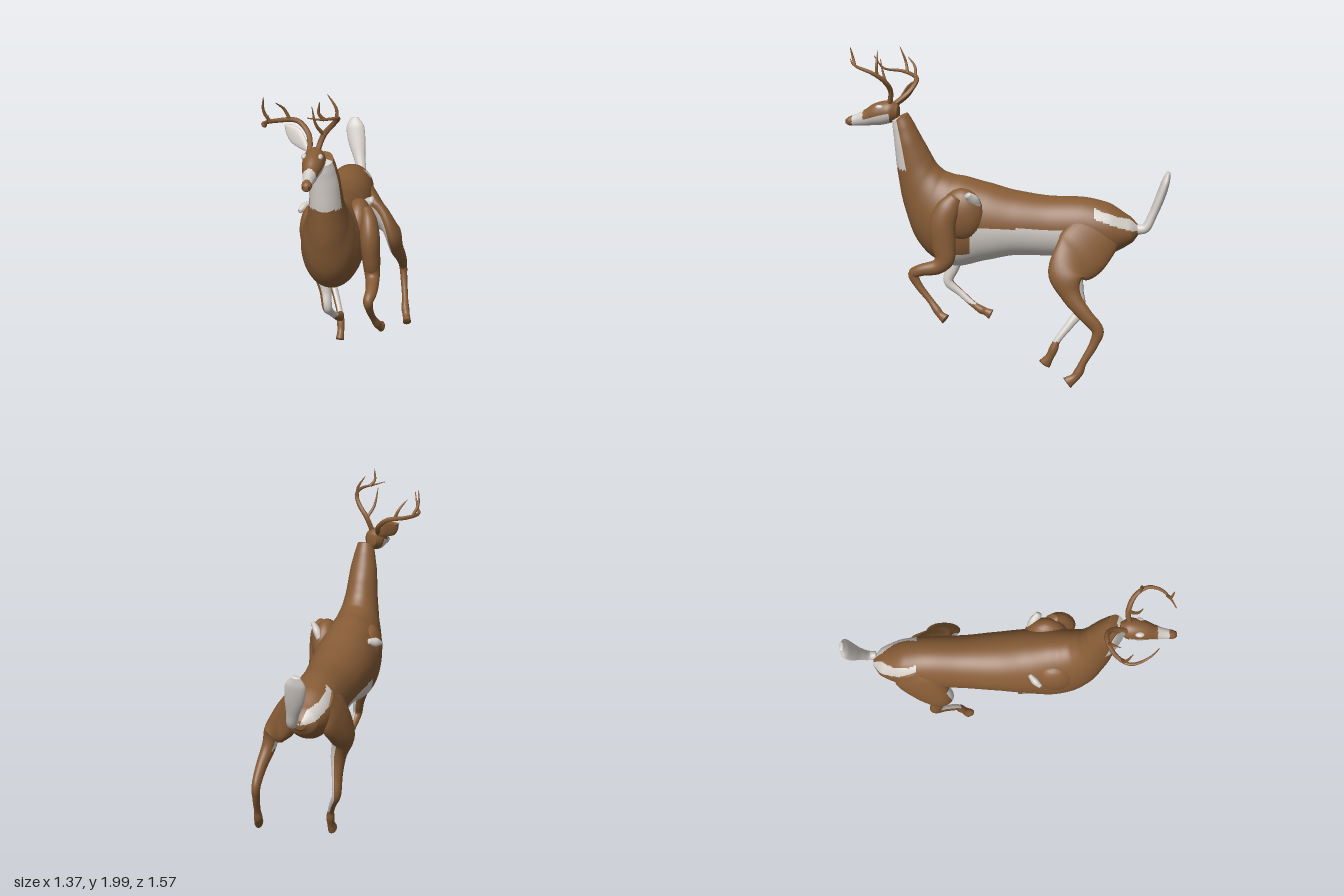
import * as THREE from 'three';

const V = (x, y, z) => new THREE.Vector3(x, y, z);
const LEFT = V(0.8, 0, 0.6); // the animal's own left
const FORWARD = V(-0.6, 0, 0.8);
const along = p => p.dot(FORWARD);

const brown = new THREE.MeshStandardMaterial({ color: 0x875c36 });
brown.name = 'brown coat';
const white = new THREE.MeshStandardMaterial({ color: 0xd2ccc6 });
white.name = 'white coat';
const dark = new THREE.MeshStandardMaterial({ color: 0x2a211c });
dark.name = 'dark nose';

// Smooth skin through oval sections [x, y, z, halfWidth, halfHeight, optional backward tilt].
// isWhite(point, u, v): u is +1 on the side vector, v is +1 on the upper/front face.
function loft(name, sections, { side = LEFT, steps = 40, sides = 24, isWhite = () => false } = {}) {
  const path = new THREE.CatmullRomCurve3(sections.map(s => V(s[0], s[1], s[2])), false, 'centripetal');
  const size = new THREE.CatmullRomCurve3(sections.map(s => V(s[3], s[4], s[5] ?? 0)), false, 'catmullrom', 0.4);
  const tilted = sections[0].length > 5;
  const pos = [], groups = [[], []];
  for (let i = -1; i <= steps + 1; i++) {
    const t = Math.min(1, Math.max(0, i / steps));
    const c = path.getPoint(t), r = size.getPoint(t);
    const T = tilted ? FORWARD.clone().multiplyScalar(Math.cos(r.z)).setY(Math.sin(r.z)) : path.getTangent(t);
    const up = T.clone().cross(side).normalize(), sd = up.clone().cross(T);
    const k = i < 0 || i > steps ? 0 : 1; // end rings close to a point
    for (let j = 0; j < sides; j++) {
      const a = j / sides * Math.PI * 2;
      const p = c.clone().addScaledVector(sd, k * r.x * Math.cos(a)).addScaledVector(up, k * r.y * Math.sin(a));
      pos.push(p.x, p.y, p.z);
    }
  }
  const at = i => V(pos[3 * i], pos[3 * i + 1], pos[3 * i + 2]);
  for (let i = 0; i < steps + 2; i++) for (let j = 0; j < sides; j++) {
    const a = i * sides + j, b = i * sides + (j + 1) % sides, c = a + sides, d = b + sides;
    const mid = at(a).add(at(b)).add(at(c)).add(at(d)).multiplyScalar(0.25);
    const ang = (j + 0.5) / sides * Math.PI * 2;
    groups[isWhite(mid, Math.cos(ang), Math.sin(ang)) ? 1 : 0].push(a, b, c, b, d, c);
  }
  const g = new THREE.BufferGeometry();
  g.setAttribute('position', new THREE.Float32BufferAttribute(pos, 3));
  g.setIndex([...groups[0], ...groups[1]]);
  g.addGroup(0, groups[0].length, 0);
  g.addGroup(groups[0].length, groups[1].length, 1);
  g.computeVertexNormals();
  const m = new THREE.Mesh(g, [brown, white]);
  m.name = name;
  return m;
}

// Section between a point on the back line and one on the belly line, given as z and y
function slice([zTop, yTop, zBottom, yBottom, halfWidth]) {
  const a = (zTop - 0.024) / 0.8, b = (zBottom - 0.024) / 0.8, s = (a + b) / 2;
  return [-0.6 * s + 0.032, (yTop + yBottom) / 2, 0.8 * s + 0.024, halfWidth,
    Math.hypot(a - b, yTop - yBottom) / 2, Math.atan2(b - a, yTop - yBottom)];
}

// Tube that narrows to a point, for the antlers
function horn(name, pts, r, tip = 0.15) {
  const curve = new THREE.CatmullRomCurve3(pts.map(p => V(...p)));
  const n = 24, g = new THREE.TubeGeometry(curve, n, r, 8);
  const pos = g.attributes.position, p = V(0, 0, 0);
  for (let i = 0; i < pos.count; i++) {
    const t = Math.floor(i / 9) / n, c = curve.getPointAt(t);
    p.fromBufferAttribute(pos, i).sub(c).multiplyScalar(1 - (1 - tip) * t * t).add(c);
    pos.setXYZ(i, p.x, p.y, p.z);
  }
  g.computeVertexNormals();
  const m = new THREE.Mesh(g, brown);
  m.name = name;
  return m;
}

function ear(name, base, tip, facing, w) {
  const a = V(...base), b = V(...tip), d = b.clone().sub(a).normalize();
  const sec = [[0, 0.25], [0.25, 0.7], [0.55, 1], [0.8, 0.75], [1, 0.1]].map(([t, k]) => {
    const p = a.clone().lerp(b, t);
    return [p.x, p.y, p.z, w * k, 0.012];
  });
  return loft(name, sec, { side: V(...facing).cross(d).normalize(), steps: 16, sides: 16, isWhite: (p, u, v) => v > 0.1 });
}

function blob(name, mat, p, sx, sy, sz) {
  const m = new THREE.Mesh(new THREE.SphereGeometry(1, 24, 16), mat);
  m.position.set(...p);
  m.scale.set(sx, sy, sz);
  m.rotation.y = Math.atan2(-0.6, 0.8);
  m.name = name;
  return m;
}

export function createModel() {
  const deer = new THREE.Group();
  deer.name = 'deer';

  // Trunk and neck, with pale belly, throat and rump stripes
  deer.add(loft('bodyAndNeck', [
    [-0.61, 0.96, -0.61, 0.91, 0.03], [-0.56, 1.02, -0.58, 0.86, 0.09], [-0.46, 1.095, -0.48, 0.79, 0.135],
    [-0.34, 1.125, -0.34, 0.765, 0.15], [-0.18, 1.125, -0.18, 0.76, 0.157], [-0.02, 1.15, -0.02, 0.755, 0.174],
    [0.12, 1.195, 0.12, 0.715, 0.186], [0.22, 1.228, 0.27, 0.67, 0.187], [0.28, 1.24, 0.38, 0.72, 0.175],
    [0.33, 1.265, 0.46, 0.83, 0.15], [0.37, 1.32, 0.515, 1.02, 0.117], [0.395, 1.38, 0.545, 1.22, 0.097],
    [0.43, 1.46, 0.56, 1.4, 0.084], [0.465, 1.545, 0.567, 1.5, 0.066], [0.495, 1.61, 0.57, 1.56, 0.05],
  ].map(slice), {
    steps: 160, sides: 100, isWhite: (p, u, v) => {
      const s = along(p);
      if (p.y > 1.28) return v < -0.3;
      if (s > -0.8 && s < -0.53) {
        const line = 1.06 + (s + 0.53) * 0.36;
        if (Math.abs(p.y - line) < 0.026 && Math.abs(u) > 0.3) return true;
      }
      // flank patch with a rounded front corner
      const corner = Math.max(0, s - 0.12) ** 2 * 9;
      if (s > -0.43 && s < 0.2 && p.y < (u > 0 ? 0.97 : 0.88) - corner) return true;
      return s > -0.75 && s < 0.36 && p.y < 0.79;
    },
  }));

  // Head with pale cheeks, muzzle band and eye patches
  deer.add(loft('head', [
    [-0.385, 1.605, 0.525, 0.03, 0.04], [-0.42, 1.605, 0.56, 0.06, 0.066], [-0.465, 1.588, 0.615, 0.058, 0.068],
    [-0.51, 1.563, 0.67, 0.042, 0.05], [-0.55, 1.545, 0.72, 0.03, 0.036], [-0.58, 1.535, 0.758, 0.026, 0.027],
    [-0.593, 1.533, 0.775, 0.014, 0.014]],
  { steps: 60, sides: 40, isWhite: (p, u, v) => { const s = along(p); return s < 0.935 && (s > 0.865 || (v < 0.05 && s > 0.7)); } }));
  for (const k of [-1, 1]) {
    const side = (x, y, z, d) => [x + 0.8 * d * k, y, z + 0.6 * d * k];
    deer.add(blob('eyePatch', white, side(-0.461, 1.637, 0.602, 0.043), 0.016, 0.015, 0.026));
    deer.add(blob('nostril', dark, side(-0.588, 1.54, 0.768, 0.014), 0.006, 0.006, 0.008));
  }
  deer.add(ear('rightEar', [-0.435, 1.64, 0.51], [-0.49, 1.75, 0.35], [-0.85, 0.3, 0.4], 0.047));

  // Antlers: one curved beam each, with upright tines
  deer.add(horn('leftAntlerBeam', [[-0.415, 1.64, 0.57], [-0.375, 1.74, 0.578], [-0.345, 1.82, 0.64], [-0.36, 1.87, 0.71], [-0.42, 1.89, 0.755], [-0.5, 1.9, 0.76], [-0.565, 1.915, 0.745]], 0.016));
  deer.add(horn('rightAntlerBeam', [[-0.435, 1.64, 0.53], [-0.4, 1.71, 0.45], [-0.43, 1.77, 0.38], [-0.54, 1.78, 0.35], [-0.64, 1.79, 0.38], [-0.675, 1.81, 0.48], [-0.685, 1.89, 0.535]], 0.016));
  [
    [[-0.47, 1.893, 0.76], [-0.5, 1.93, 0.755], [-0.505, 2.0, 0.77]],
    [[-0.35, 1.845, 0.675], [-0.352, 1.91, 0.675], [-0.39, 1.99, 0.645]],
    [[-0.375, 1.74, 0.578], [-0.43, 1.81, 0.59], [-0.46, 1.92, 0.6]],
    [[-0.59, 1.785, 0.36], [-0.625, 1.85, 0.355], [-0.64, 1.94, 0.385]],
    [[-0.47, 1.775, 0.365], [-0.5, 1.84, 0.355], [-0.56, 1.89, 0.37]],
  ].forEach(p => deer.add(horn('antlerTine', p, 0.01)));

  // Raised tail
  deer.add(loft('tail', [
    [0.53, 0.95, -0.58, 0.025, 0.03], [0.555, 0.96, -0.62, 0.03, 0.028], [0.565, 1.04, -0.665, 0.038, 0.026],
    [0.57, 1.14, -0.71, 0.056, 0.028], [0.575, 1.23, -0.742, 0.058, 0.025], [0.578, 1.29, -0.76, 0.025, 0.012]],
  { isWhite: () => true }));

  // Shoulder muscles
  deer.add(blob('leftShoulder', brown, [0.0, 1.04, 0.31], 0.085, 0.16, 0.13));
  deer.add(blob('rightShoulder', brown, [-0.24, 1.02, 0.19], 0.075, 0.15, 0.13));

  // Legs, from shoulder or hip down to the hoof
  deer.add(loft('leftForeleg', [
    [0.02, 1.16, 0.36, 0.03, 0.04], [0.01, 1.09, 0.41, 0.05, 0.07], [0.0, 1.0, 0.44, 0.058, 0.078],
    [0.01, 0.88, 0.44, 0.053, 0.072], [0.018, 0.79, 0.44, 0.047, 0.06], [0.0, 0.742, 0.475, 0.04, 0.046],
    [-0.06, 0.715, 0.56, 0.034, 0.036], [-0.095, 0.685, 0.59, 0.03, 0.032], [-0.075, 0.62, 0.57, 0.022, 0.024],
    [-0.02, 0.53, 0.52, 0.018, 0.019], [0.02, 0.475, 0.495, 0.023, 0.024], [0.04, 0.45, 0.483, 0.021, 0.023],
    [0.07, 0.428, 0.465, 0.024, 0.032]],
  { steps: 70 }));
  deer.add(loft('rightForeleg', [
    [-0.26, 1.1, 0.28, 0.04, 0.06], [-0.29, 0.99, 0.3, 0.06, 0.09], [-0.25, 0.85, 0.26, 0.055, 0.085],
    [-0.21, 0.74, 0.24, 0.045, 0.06], [-0.2, 0.64, 0.27, 0.035, 0.04], [-0.205, 0.55, 0.3, 0.029, 0.03],
    [-0.15, 0.48, 0.245, 0.02, 0.022], [-0.08, 0.41, 0.185, 0.019, 0.02], [-0.05, 0.385, 0.155, 0.024, 0.025],
    [-0.035, 0.375, 0.135, 0.021, 0.023], [-0.01, 0.36, 0.11, 0.024, 0.032]],
  { steps: 70, isWhite: (p, u, v) => u + 0.5 * v > -0.1 && p.y > 0.425 && p.y < 0.79 }));
  deer.add(loft('leftHindLeg', [
    [0.42, 1.03, -0.43, 0.035, 0.08], [0.43, 0.95, -0.37, 0.058, 0.15], [0.45, 0.84, -0.24, 0.058, 0.165],
    [0.487, 0.74, -0.115, 0.05, 0.108], [0.527, 0.62, -0.125, 0.042, 0.058], [0.6, 0.51, -0.18, 0.032, 0.042],
    [0.65, 0.42, -0.235, 0.026, 0.036], [0.645, 0.34, -0.215, 0.022, 0.027], [0.62, 0.22, -0.155, 0.02, 0.022],
    [0.61, 0.165, -0.135, 0.026, 0.028], [0.602, 0.13, -0.11, 0.023, 0.026], [0.585, 0.098, -0.07, 0.026, 0.037]],
  { steps: 70, isWhite: (p, u, v) => u < -0.5 && v > -0.5 && p.y > 0.6 && p.y < 0.92 }));
  deer.add(loft('rightHindLeg', [
    [0.31, 1.02, -0.5, 0.035, 0.08], [0.265, 0.93, -0.47, 0.058, 0.145], [0.2, 0.82, -0.425, 0.065, 0.13],
    [0.16, 0.72, -0.385, 0.066, 0.095], [0.18, 0.6, -0.365, 0.046, 0.06], [0.195, 0.48, -0.38, 0.032, 0.042],
    [0.205, 0.36, -0.395, 0.026, 0.036], [0.2, 0.28, -0.33, 0.022, 0.026], [0.185, 0.18, -0.245, 0.02, 0.021],
    [0.18, 0.13, -0.225, 0.025, 0.028], [0.17, 0.08, -0.205, 0.022, 0.026], [0.15, 0.028, -0.18, 0.027, 0.038]],
  { steps: 70, isWhite: (p, u, v) => u + 0.5 * v > -0.1 && p.y > 0.18 && p.y < 0.85 }));

  // Pale tufts behind the shoulders
  deer.add(loft('leftShoulderTuft', [[0.07, 1.1, 0.24, 0.02, 0.02], [0.075, 1.145, 0.275, 0.025, 0.033], [0.085, 1.185, 0.32, 0.014, 0.02]],
    { steps: 12, sides: 12, isWhite: () => true }));
  deer.add(loft('rightShoulderTuft', [[-0.265, 1.09, 0.07, 0.012, 0.014], [-0.225, 1.105, 0.06, 0.02, 0.028], [-0.175, 1.12, 0.055, 0.012, 0.016]],
    { side: V(0.4, 0, 0.9), steps: 12, sides: 12, isWhite: () => true }));
  return deer;
}
